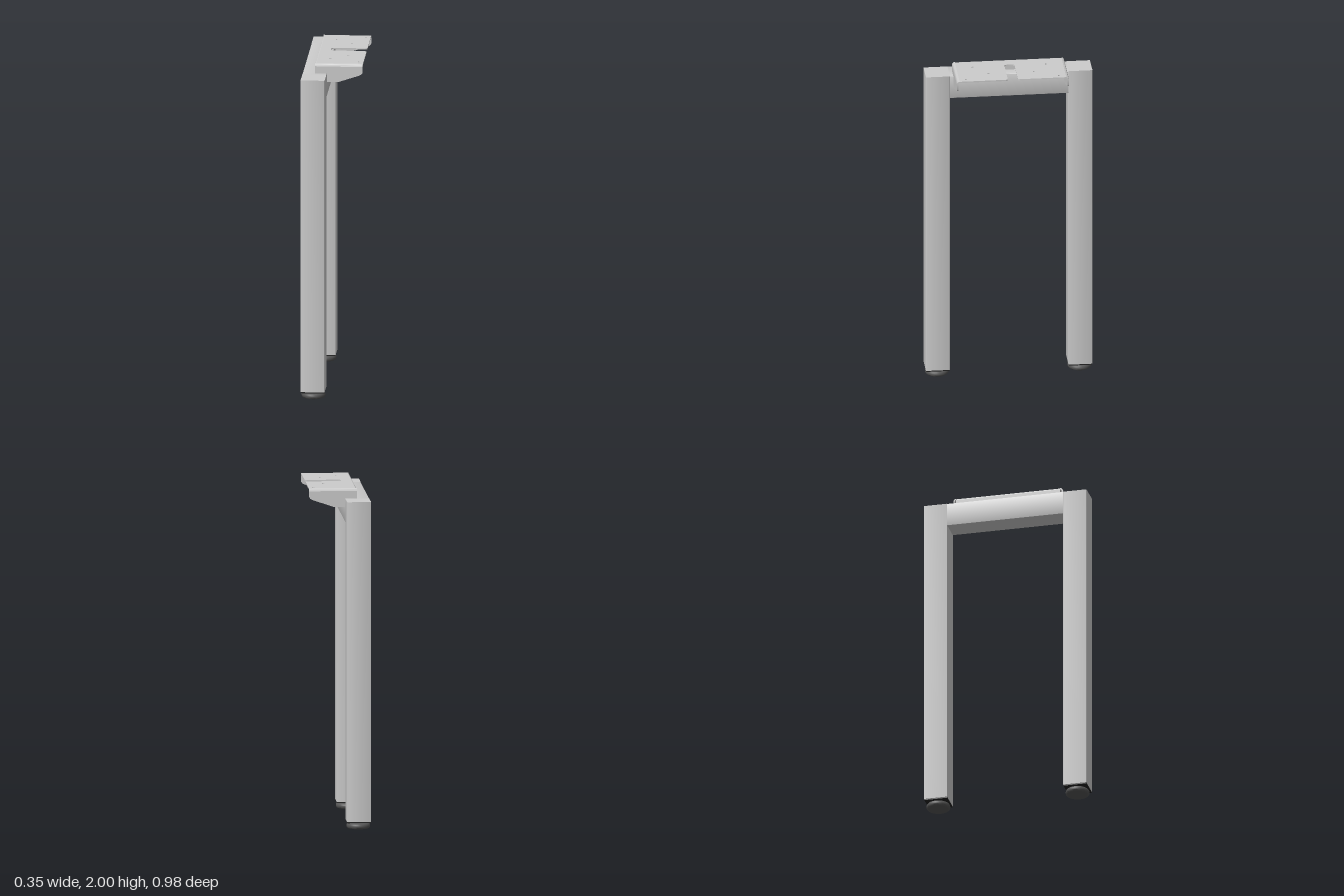
import * as THREE from 'three';
import { toCreasedNormals } from 'three/addons/utils/BufferGeometryUtils.js';

const steel = new THREE.MeshStandardMaterial({ color: 0xcccccc });
const plastic = new THREE.MeshStandardMaterial({ color: 0x222222 });
const rubber = new THREE.MeshStandardMaterial({ color: 0x555555 });

function add(parent, name, geometry, material = steel) {
  const mesh = new THREE.Mesh(geometry, material);
  mesh.name = name;
  parent.add(mesh);
  return mesh;
}

function extrude(shape, depth) {
  const g = new THREE.ExtrudeGeometry(shape, { depth, bevelEnabled: false, curveSegments: 8 });
  return toCreasedNormals(g, 0.6);
}

// Square tube section with slightly rounded corners
function squareSection(size, r) {
  const h = size / 2, s = new THREE.Shape();
  s.absarc(h - r, h - r, r, 0, Math.PI / 2);
  s.absarc(r - h, h - r, r, Math.PI / 2, Math.PI);
  s.absarc(r - h, r - h, r, Math.PI, Math.PI * 1.5);
  s.absarc(h - r, r - h, r, Math.PI * 1.5, Math.PI * 2);
  return s;
}

function polygon(points) {
  return new THREE.Shape(points.map(([x, y]) => new THREE.Vector2(x, y)));
}

// Quarter ring for a sheet metal bend
function bendSection(outer, inner) {
  const s = new THREE.Shape();
  s.absarc(0, 0, outer, 0, Math.PI / 2, false);
  s.absarc(0, 0, inner, Math.PI / 2, 0, true);
  return s;
}

const tube = 0.141, tubeX = -0.107, legZ = 0.42;
const legBottom = 0.046, frameTop = 1.94;
const top = 2, t = 0.008;
const backX = -0.105, frontX = 0.175, sideZ = 0.33, bend = 0.016;

function createFrame() {
  const frame = new THREE.Group();
  frame.name = 'frame';
  for (const s of [-1, 1]) {
    const leg = add(frame, 'leg', extrude(squareSection(tube, 0.004), frameTop - legBottom).rotateX(-Math.PI / 2));
    leg.position.set(tubeX, legBottom, s * legZ);

    const cap = add(frame, 'legEndCap', new THREE.BoxGeometry(0.137, 0.008, 0.137), plastic);
    cap.position.set(tubeX, 0.043, s * legZ);

    // Levelling foot with rounded rim and short stem
    const profile = [[0, 0], [0.055, 0], [0.064, 0.003], [0.069, 0.009], [0.07, 0.017],
      [0.069, 0.024], [0.064, 0.031], [0.055, 0.034], [0.02, 0.034], [0.02, 0.042]]
      .map(([x, y]) => new THREE.Vector2(x, y));
    const foot = add(frame, 'levellingFoot', toCreasedNormals(new THREE.LatheGeometry(profile, 40), 0.7), rubber);
    foot.position.set(tubeX, 0, s * legZ);
  }
  const length = 2 * legZ - tube;
  const beam = add(frame, 'crossBeam', extrude(squareSection(tube, 0.004), length));
  beam.position.set(tubeX, frameTop - tube / 2, -length / 2);
  return frame;
}

function createBracket() {
  const bracket = new THREE.Group();
  bracket.name = 'topBracket';

  // Top plate with an open cable slot and screw holes
  const z = sideZ - bend, w = 0.03, r = 0.014, slotX = -0.035;
  const plate = new THREE.Shape();
  plate.moveTo(backX + t, -z);
  plate.lineTo(frontX, -z);
  plate.lineTo(frontX, -w - r);
  plate.quadraticCurveTo(frontX, -w, frontX - r, -w);
  plate.lineTo(slotX + r, -w);
  plate.quadraticCurveTo(slotX, -w, slotX, -w + r);
  plate.lineTo(slotX, w - r);
  plate.quadraticCurveTo(slotX, w, slotX + r, w);
  plate.lineTo(frontX - r, w);
  plate.quadraticCurveTo(frontX, w, frontX, w + r);
  plate.lineTo(frontX, z);
  plate.lineTo(backX + t, z);
  plate.closePath();
  for (const [hx, hz] of [[-0.021, 0.216], [0.077, 0.133], [0.148, 0.274]]) {
    for (const s of [-1, 1]) {
      plate.holes.push(new THREE.Path().absarc(hx, s * hz, 0.007, 0, Math.PI * 2, true));
    }
  }
  add(bracket, 'topPlate', extrude(plate, t).rotateX(-Math.PI / 2)).position.y = top - t;

  // Side flanges, cut away where they rest on the beam
  const flange = polygon([[backX, frameTop], [-0.036, frameTop], [-0.036, 1.89], [0.03, 1.89],
    [0.155, 1.932], [0.168, 1.939], [frontX, 1.95], [frontX, top - bend], [backX, top - bend]]);
  for (const s of [-1, 1]) {
    add(bracket, 'sideFlange', extrude(flange, t)).position.z = s > 0 ? sideZ - t : -sideZ;

    const sideBend = add(bracket, 'sideBend',
      extrude(bendSection(bend, bend - t), frontX - backX).rotateY(-s * Math.PI / 2));
    sideBend.position.set(s > 0 ? frontX : backX, top - bend, s * z);
  }

  // Back flange folded down onto the beam
  const backLength = 2 * z;
  const backFlange = add(bracket, 'backFlange', new THREE.BoxGeometry(t, top - t - frameTop, backLength));
  backFlange.position.set(backX + t / 2, (top - t + frameTop) / 2, 0);
  const backBend = add(bracket, 'backBend', extrude(bendSection(t, 0.0005), backLength).rotateY(Math.PI));
  backBend.position.set(backX + t, top - t, backLength / 2);
  return bracket;
}

export function createModel() {
  const model = new THREE.Group();
  model.name = 'tableLeg';
  model.add(createFrame(), createBracket());
  return model;
}
